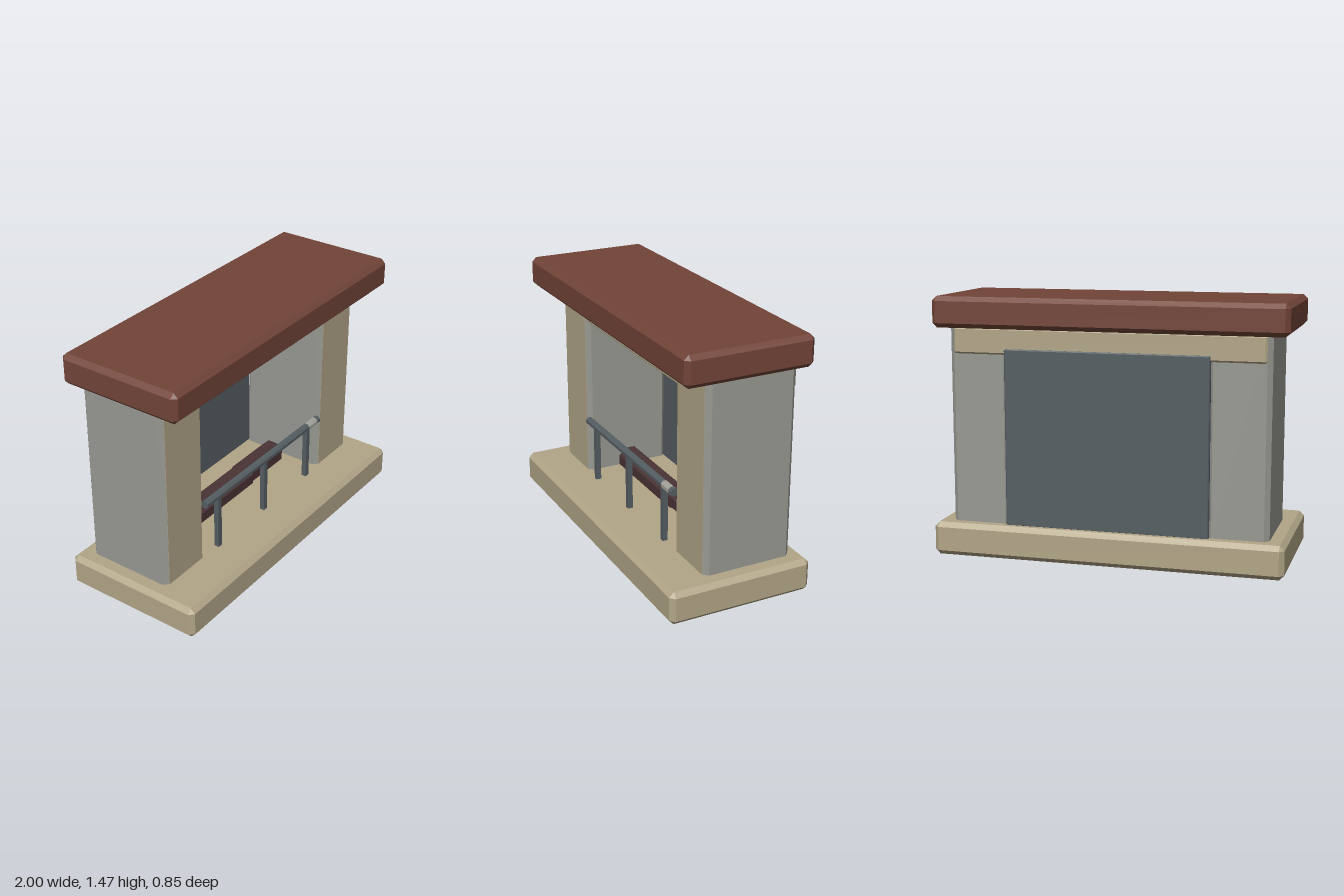
import * as THREE from 'three';
import { ConvexGeometry } from 'three/addons/geometries/ConvexGeometry.js';

const material = (name, color) => {
  const m = new THREE.MeshStandardMaterial({ color });
  m.name = name;
  return m;
};

// Box between two corners with all edges cut at 45 degrees (or only the upright ones)
function chamferedBox(min, max, cut, uprightOnly = false) {
  const points = [];
  for (const sx of [0, 1]) for (const sy of [0, 1]) for (const sz of [0, 1]) {
    const corner = [sx, sy, sz].map((s, i) => (s ? max[i] : min[i]));
    const inward = [sx, sy, sz].map((s) => (s ? -cut : cut));
    const axes = uprightOnly ? [0, 2] : [0, 1, 2];
    for (const kept of axes) {
      const p = corner.map((c, i) => (i !== kept && axes.includes(i) ? c + inward[i] : c));
      points.push(new THREE.Vector3(...p));
    }
  }
  return new ConvexGeometry(points);
}

// Faceted bar lying along x, with a flat side facing up
function bar(x0, x1, y, z, radius, sides) {
  const g = new THREE.CylinderGeometry(radius, radius, x1 - x0, sides).toNonIndexed();
  g.rotateY(Math.PI / sides);
  g.rotateZ(Math.PI / 2);
  g.computeVertexNormals();
  g.translate((x0 + x1) / 2, y, z);
  return g;
}

export function createModel() {
  const sandstone = material('sandstone', 0xb2a688);
  const stone = material('grey stone', 0x999993);
  const wood = material('mantel wood', 0x724438);
  const iron = material('dark iron', 0x555e62);
  const bark = material('charred bark', 0x4a3335);
  const steel = material('bright steel', 0xa3a39a);

  const model = new THREE.Group();
  model.name = 'fireplace';
  const add = (name, geometry, mat) => {
    const mesh = new THREE.Mesh(geometry, mat);
    mesh.name = name;
    model.add(mesh);
    return mesh;
  };

  // Hearth slab, mantel shelf and the beam under it
  add('hearth', chamferedBox([-1, 0, -0.423], [1, 0.19, 0.423], 0.027), sandstone);
  add('mantel', chamferedBox([-1, 1.295, -0.39], [1, 1.47, 0.35], 0.026), wood);
  add('lintel', chamferedBox([-0.88, 1.152, -0.357], [0.88, 1.3, 0.174], 0.01), sandstone);

  // Pillars with a sandstone front face
  for (const side of [-1, 1]) {
    const xs = [side * 0.565, side * 0.907].sort((a, b) => a - b);
    add('pillar', chamferedBox([xs[0], 0.185, -0.347], [xs[1], 1.3, 0.179], 0.027, true), stone);
    const face = add('pillarFace', new THREE.BoxGeometry(0.288, 1.105, 0.004), sandstone);
    face.position.set(side * 0.736, 0.7425, 0.179);
  }

  // Back panel of the firebox
  add('backPanel', chamferedBox([-0.58, 0.185, -0.368], [0.58, 1.185, -0.335], 0.006), iron);

  // Fire guard: rail, bright band and three posts
  add('guardRail', bar(-0.56, 0.56, 0.528, 0.178, 0.024, 8), iron);
  add('railBand', bar(0.444, 0.53, 0.528, 0.178, 0.0255, 8), steel);
  for (const x of [-0.443, 0, 0.443]) {
    const post = add('guardPost', new THREE.BoxGeometry(0.03, 0.33, 0.03), iron);
    post.position.set(x, 0.35, 0.18);
  }

  // Logs
  add('leftLog', bar(-0.48, 0.125, 0.265, -0.055, 0.077, 8), bark);
  add('rightLog', bar(0.125, 0.45, 0.263, -0.067, 0.075, 8), bark);

  return model;
}
